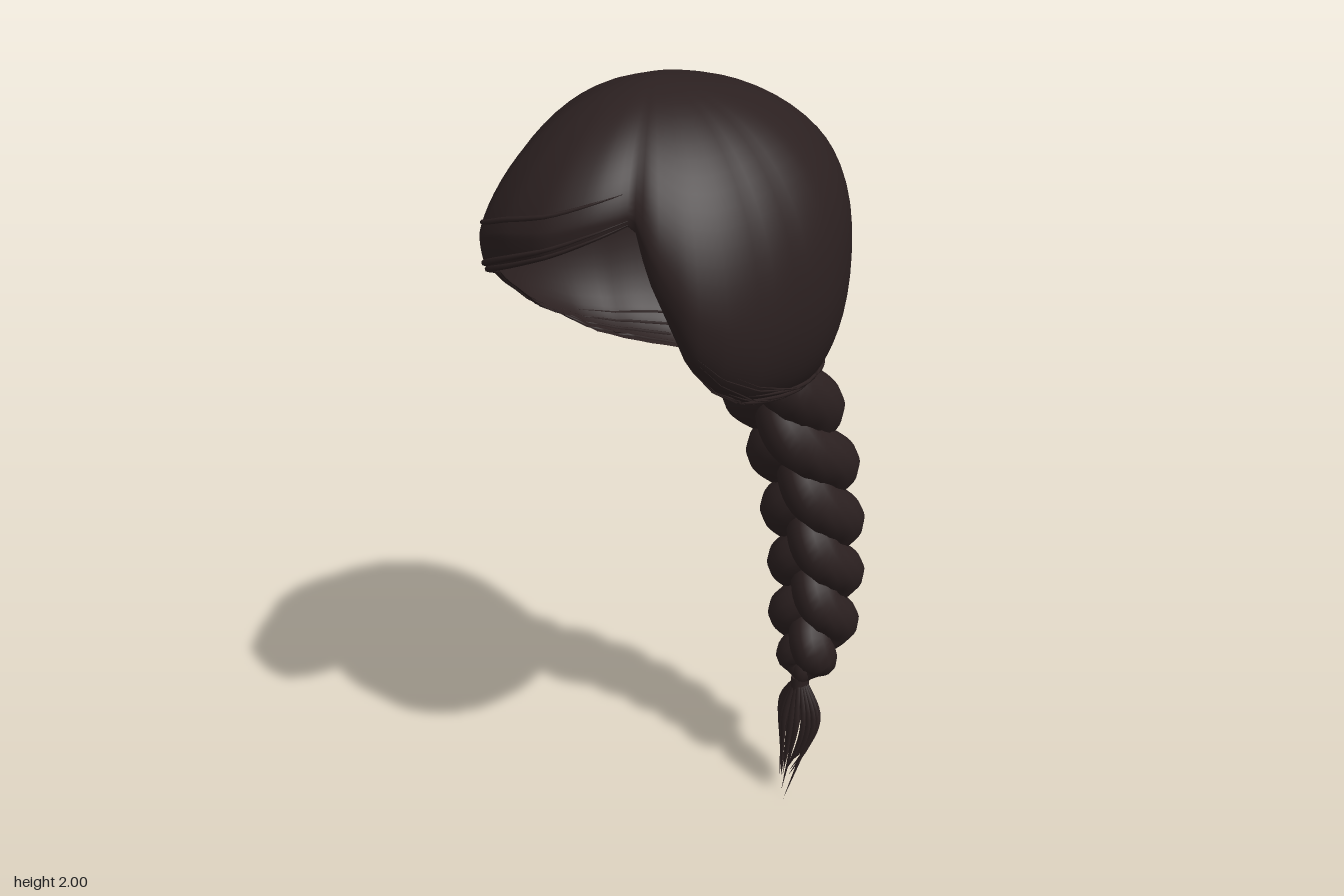
import * as THREE from 'three';

const hair = new THREE.MeshStandardMaterial({ color: 0x2b2020, side: THREE.DoubleSide });
hair.name = 'dark brown hair';

let seed = 7;
const rnd = () => (seed = (seed * 16807) % 2147483647) / 2147483647;
const lerp = THREE.MathUtils.lerp;

// Cap meridians by angle from the front (+ toward +x): widest radius, its height, hem radius, hem height
const meridians = [
  [-180, 0.42, 1.66, 0.39, 1.265], [-156, 0.41, 1.64, 0.31, 1.285], [-138, 0.40, 1.61, 0.25, 1.305],
  [-122, 0.377, 1.59, 0.225, 1.325], [-106, 0.358, 1.57, 0.22, 1.345], [-90, 0.365, 1.57, 0.235, 1.37],
  [-67, 0.38, 1.60, 0.305, 1.445], [-57, 0.383, 1.62, 0.33, 1.505], [-38, 0.36, 1.67, 0.335, 1.58],
  [-15, 0.385, 1.71, 0.365, 1.635], [0, 0.38, 1.74, 0.365, 1.67], [16, 0.367, 1.76, 0.355, 1.71],
  [31, 0.325, 1.785, 0.318, 1.75], [44, 0.285, 1.80, 0.28, 1.78], [50, 0.322, 1.735, 0.318, 1.68],
  [64, 0.365, 1.61, 0.31, 1.49], [75, 0.37, 1.58, 0.285, 1.42], [90, 0.367, 1.57, 0.26, 1.37],
  [105, 0.373, 1.58, 0.24, 1.345], [120, 0.395, 1.59, 0.235, 1.325], [137, 0.41, 1.61, 0.255, 1.305],
  [156, 0.425, 1.64, 0.32, 1.285], [180, 0.42, 1.66, 0.39, 1.265],
];
const capKeys = new THREE.LinearInterpolant(
  meridians.map((m) => m[0]), meridians.flatMap((m) => m.slice(1)), 4, new Float32Array(4));

// Point on the cap: angle in degrees, t = 0 at the crown and 1 at the hem
function onCap(deg, t, lift = 0) {
  const [R, yw, rh, yh] = capKeys.evaluate(deg);
  const a = THREE.MathUtils.degToRad(deg);
  let r, y;
  if (t < 0.6) {
    // flatter slope over the fringe, fuller at the back
    const u = (t / 0.6) * Math.PI / 2, fullness = 1.13 + 0.34 * Math.cos(a) - 0.07 * Math.sin(a);
    r = R * Math.sin(u);
    y = yw + (2 - yw) * Math.pow(Math.cos(u), fullness);
  } else {
    const v = ((t - 0.6) / 0.4) * Math.PI / 2;
    r = rh + (R - rh) * Math.cos(v);
    y = yw - (yw - yh) * Math.sin(v);
  }
  r += lift;
  return new THREE.Vector3(r * Math.sin(a), y, 0.1 + r * Math.cos(a));
}

// Skin rows of points into a smooth surface; each row is a closed ring
function skin(rows) {
  const n = rows[0].length, index = [];
  for (let i = 0; i < rows.length - 1; i++) {
    for (let j = 0; j < n; j++) {
      const k = (j + 1) % n, a = i * n + j, b = i * n + k, c = a + n, d = b + n;
      index.push(a, c, b, b, c, d);
    }
  }
  const g = new THREE.BufferGeometry().setFromPoints(rows.flat());
  g.setIndex(index);
  g.computeVertexNormals();
  return g;
}

// Sweep an oval section along a path; radius(t) gives [across, deep]
function sweep(path, radius, steps, sides) {
  const rows = [];
  for (let i = 0; i <= steps; i++) {
    const t = i / steps, p = path(t);
    const dir = path(Math.min(1, t + 0.005)).sub(path(Math.max(0, t - 0.005))).normalize();
    const ref = Math.abs(dir.z) > 0.85 ? new THREE.Vector3(0, 1, 0) : new THREE.Vector3(0, 0, 1);
    const across = new THREE.Vector3().crossVectors(ref, dir).normalize();
    const deep = new THREE.Vector3().crossVectors(dir, across);
    const [w, d] = radius(t);
    rows.push(Array.from({ length: sides }, (_, j) => {
      const a = (-j / sides) * Math.PI * 2;
      return p.clone().addScaledVector(across, w * Math.cos(a)).addScaledVector(deep, d * Math.sin(a));
    }));
  }
  return skin(rows);
}

function add(group, name, geometry) {
  const mesh = new THREE.Mesh(geometry, hair);
  mesh.name = name;
  group.add(mesh);
}

// Lock lying on the cap, running between two (angle, t) positions
function capLock(group, name, a0, t0, a1, t1, size, lift) {
  add(group, name, sweep(
    (t) => onCap(lerp(a0, a1, t), lerp(t0, t1, t), lift * Math.sin(Math.PI * t)),
    (t) => { const s = size * Math.sin(Math.PI * (0.03 + 0.94 * t)); return [s, s]; }, 24, 6));
}

export function createModel() {
  const model = new THREE.Group();
  model.name = 'braidedHair';

  // Open shell with a side parting
  const cap = new THREE.Group();
  cap.name = 'hairCap';
  model.add(cap);
  const rows = [];
  for (let i = 0; i <= 30; i++) {
    rows.push(Array.from({ length: 120 }, (_, j) => onCap(-180 + j * 3, i / 30)));
  }
  add(cap, 'capShell', skin(rows));

  // Swept fringe ridges
  capLock(cap, 'fringeLock', 43, 0.72, -75, 0.9, 0.007, 0);
  capLock(cap, 'fringeLock', 43, 0.85, -85, 0.96, 0.007, 0);
  capLock(cap, 'fringeLock', 40, 0.48, -45, 0.54, 0.006, 0);

  // Locks gathered along the hem toward the nape, with a few loose wisps
  for (const s of [-1, 1]) {
    for (let i = 0; i < 4; i++) {
      capLock(cap, 'hemLock', s * (62 + i * 9), 0.96 - i * 0.035, s * (165 + i * 3), 0.98 - i * 0.045, 0.005, 0.004);
    }
    for (let i = 0; i < 6; i++) {
      const a = 56 + rnd() * 30;
      capLock(cap, 'looseWisp', s * a, 0.75 + rnd() * 0.2, s * (a + 60), 0.8 + rnd() * 0.2, 0.002, 0.01);
    }
  }

  // Three-strand braid hanging from the nape
  const braid = new THREE.Group();
  braid.name = 'braid';
  model.add(braid);
  const spine = new THREE.CatmullRomCurve3([
    [0.024, 1.39, -0.185], [0.024, 1.2, -0.245], [0.026, 1.0, -0.322], [0.028, 0.8, -0.358],
    [0.024, 0.62, -0.375], [0.02, 0.48, -0.366], [0.015, 0.35, -0.342],
  ].map((p) => new THREE.Vector3(...p)));
  const pinch = (t) => Math.min(1, 0.3 + 6 * (1 - t), 0.72 + 2.4 * t) * lerp(1.05, 0.76, t);
  for (let k = 0; k < 3; k++) {
    const path = (t) => {
      const q = 2 * Math.PI * (1.66 * t + 0.48 * t * t + k / 3);
      const s = pinch(t) * (t > 0.93 ? (1 - t) / 0.07 : 1);
      const p = spine.getPointAt(t);
      p.x += 0.079 * s * Math.sin(q);
      p.z += 0.046 * s * Math.sin(2 * q);
      return p;
    };
    add(braid, 'braidStrand', sweep(path, (t) => {
      const s = pinch(t) * Math.min(1, 0.4 + t * 14);
      return [0.067 * s, 0.07 * s];
    }, 110, 12));
  }

  // Pinched tie at the end of the braid
  const tie = new THREE.CylinderGeometry(0.024, 0.024, 0.04, 12);
  tie.translate(0.015, 0.35, -0.342);
  add(braid, 'braidTie', tie);

  // Loose tuft, bulging then drawn to wispy tips
  const tuft = new THREE.Group();
  tuft.name = 'tuft';
  model.add(tuft);
  for (let i = 0; i < 18; i++) {
    const a = (i / 18) * Math.PI * 2, spread = 0.7 + 0.3 * rnd();
    const low = i === 0 ? 0 : 0.02 + rnd() * 0.1;
    const curve = new THREE.CatmullRomCurve3([
      new THREE.Vector3(0.015 + 0.012 * Math.cos(a), 0.36, -0.342 + 0.012 * Math.sin(a)),
      new THREE.Vector3(0.018 + 0.072 * spread * Math.cos(a), 0.26, -0.338 + 0.046 * spread * Math.sin(a)),
      new THREE.Vector3(0.015 + 0.05 * spread * Math.cos(a), 0.16, -0.325 + 0.036 * spread * Math.sin(a)),
      new THREE.Vector3(0.013 + 0.014 * Math.cos(a), low, -0.285 - low * 0.2 + 0.008 * Math.sin(a)),
    ]);
    add(tuft, 'tuftLock', sweep((t) => curve.getPoint(t), (t) => {
      const s = Math.sin(Math.PI * Math.min(1, 0.2 + 0.8 * Math.pow(t, 0.8)));
      return [0.009 * s, 0.006 * s];
    }, 16, 5));
  }
  return model;
}
